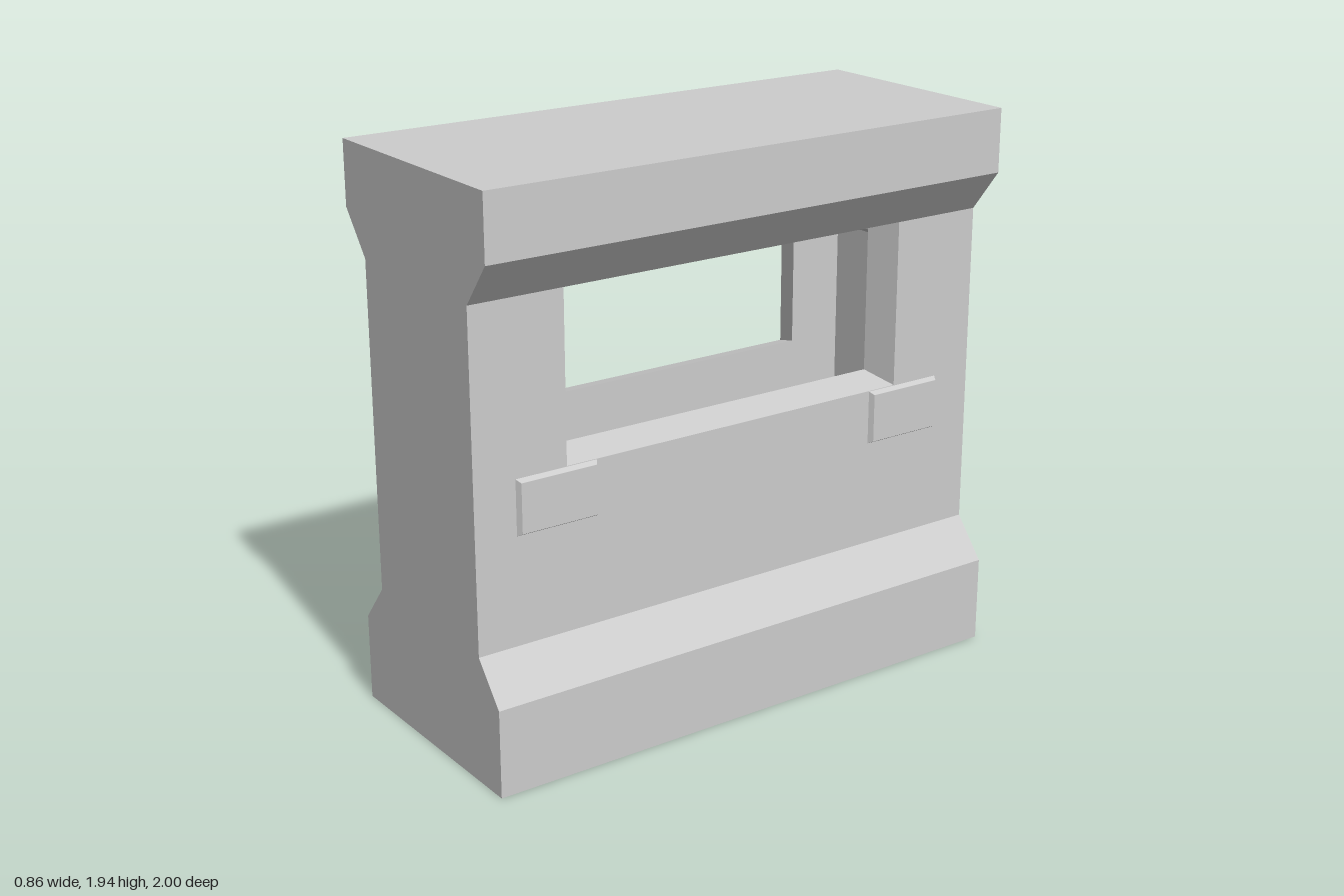
import * as THREE from 'three';
import { mergeGeometries } from 'three/addons/utils/BufferGeometryUtils.js';

const grey = new THREE.MeshStandardMaterial({ color: 0xcccccc });
grey.name = 'plain grey';

const OUT = 0.315, IN = 0.2;          // outer and inner faces of the side walls
const LOW = 0.44, HIGH = 1.575;       // wall foot and wall head
const shapeOf = (pts) => new THREE.Shape(pts.map(([x, y]) => new THREE.Vector2(x, y)));
const rect = (x0, x1, y0, y1) => [[x0, y0], [x1, y0], [x1, y1], [x0, y1]];

function add(parent, name, geometry) {
  const mesh = new THREE.Mesh(geometry, grey);
  mesh.name = name;
  parent.add(mesh);
  return mesh;
}

// prism along z, centred on z = 0
function prism(pts, depth) {
  return new THREE.ExtrudeGeometry(shapeOf(pts), { depth, bevelEnabled: false }).translate(0, 0, -depth / 2);
}

// sloping faces joining rectangle a at depth za to rectangle b at depth zb
function slopes(a, za, b, zb) {
  const pos = [];
  for (let i = 0; i < 4; i++) {
    const j = (i + 1) % 4;
    const p = [...a[i], za], q = [...a[j], za], r = [...b[j], zb], s = [...b[i], zb];
    pos.push(...p, ...q, ...r, ...p, ...r, ...s);
  }
  const g = new THREE.BufferGeometry();
  g.setAttribute('position', new THREE.Float32BufferAttribute(pos, 3));
  g.computeVertexNormals();
  return g;
}

// one long side, built facing +z and turned to face +x or -x
function sideWall(angle) {
  const wall = new THREE.Group();
  wall.name = 'sideWall';
  const opening = rect(-0.665, 0.665, 1.0, HIGH);
  const inner = rect(-0.628, 0.628, 1.033, 1.54);

  // outer face, notched because the opening reaches the wall head
  const face = shapeOf([[-1, LOW], [1, LOW], [1, HIGH], [0.665, HIGH], [0.665, 1],
    [-0.665, 1], [-0.665, HIGH], [-1, HIGH]]);
  add(wall, 'outerFace', new THREE.ShapeGeometry(face).translate(0, 0, OUT));

  // inner face of the hollow
  const back = shapeOf(rect(-0.9, 0.9, LOW, HIGH));
  back.holes.push(shapeOf(inner));
  add(wall, 'innerFace', new THREE.ShapeGeometry(back).rotateY(Math.PI).translate(0, 0, IN));

  add(wall, 'windowReveal', slopes(opening, OUT, inner, IN));

  // raised plates below the window corners
  for (const s of [-1, 1]) {
    const c = s * 0.703;
    const base = rect(c - 0.148, c + 0.148, 0.81, 0.998);
    const top = rect(c - 0.138, c + 0.138, 0.82, 0.988);
    const cap = new THREE.ShapeGeometry(shapeOf(top)).toNonIndexed().translate(0, 0, OUT + 0.018);
    cap.deleteAttribute('uv');
    add(wall, 'raisedPlate', mergeGeometries([slopes(base, OUT, top, OUT + 0.018), cap]));
  }
  wall.rotation.y = angle;
  return wall;
}

export function createModel() {
  const model = new THREE.Group();
  model.name = 'windowBlock';

  // flared foot
  add(model, 'base', prism([[-0.428, 0], [0.428, 0], [0.428, 0.302], [OUT, LOW],
    [-OUT, LOW], [-0.428, 0.302]], 2));

  // flared head with the top of the hollow cut into it
  add(model, 'header', prism([[-OUT, HIGH], [-IN, HIGH], [-IN, 1.72], [IN, 1.72], [IN, HIGH],
    [OUT, HIGH], [0.428, 1.72], [0.428, 1.94], [-0.428, 1.94], [-0.428, 1.72]], 2));

  for (const s of [-1, 1]) {
    // end walls, thicker towards the top
    const end = [[0.83, LOW], [1, LOW], [1, HIGH], [0.73, HIGH], [0.73, 1.49], [0.83, 1.44]];
    const block = add(model, 'endWall', prism(end, OUT * 2));
    block.rotation.y = s * Math.PI / 2;
    // end wall continued up into the head
    add(model, 'endWallTop', new THREE.BoxGeometry(IN * 2, 1.72 - HIGH, 0.27))
      .position.set(0, (1.72 + HIGH) / 2, s * 0.865);
    model.add(sideWall(s * Math.PI / 2));
  }
  return model;
}
